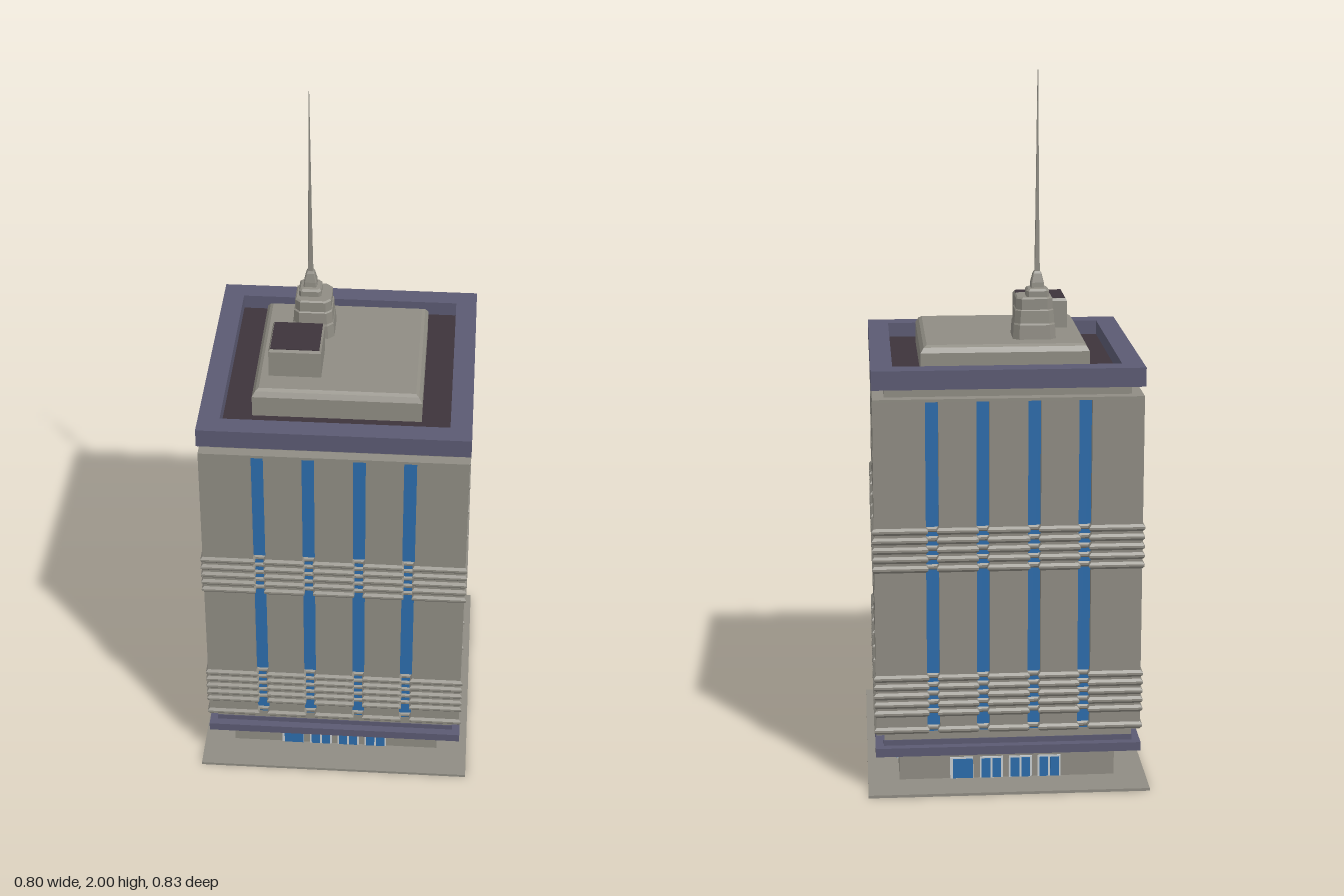
import * as THREE from 'three';

const mat = (name, color) => {
  const m = new THREE.MeshStandardMaterial({ color });
  m.name = name;
  return m;
};

export function createModel() {
  const model = new THREE.Group();
  model.name = 'officeTower';
  const stone = mat('stone', 0x8f8c83);
  const trim = mat('slateTrim', 0x5b5a72);
  const roofMat = mat('darkRoof', 0x3d343b);
  const glass = mat('blueGlass', 0x2c6cab);
  const frameMat = mat('paleFrame', 0xc9cdd0);

  const add = (name, geo, material, parent = model) => {
    const mesh = new THREE.Mesh(geo, material);
    mesh.name = name;
    parent.add(mesh);
    return mesh;
  };

  // Box spanning y0..y1, centred on x and z
  const block = (name, w, d, y0, y1, material, x = 0, z = 0) => {
    const mesh = add(name, new THREE.BoxGeometry(w, y1 - y0, d), material);
    mesh.position.set(x, (y0 + y1) / 2, z);
    return mesh;
  };

  // Flat-sided loft through squares with cut corners: levels are [y, half width, corner cut]
  const loft = (levels) => {
    const rings = levels.map(([y, h, c]) => [
      [h, h - c], [h - c, h], [c - h, h], [-h, h - c],
      [-h, c - h], [c - h, -h], [h - c, -h], [h, c - h],
    ].map(([x, z]) => [x, y, z]));
    const pos = [];
    const tri = (a, b, c) => pos.push(...a, ...b, ...c);
    for (let r = 0; r < rings.length - 1; r++) {
      for (let i = 0; i < 8; i++) {
        const j = (i + 1) % 8, lo = rings[r], hi = rings[r + 1];
        tri(lo[i], hi[i], hi[j]);
        tri(lo[i], hi[j], lo[j]);
      }
    }
    const top = rings[rings.length - 1];
    for (let i = 1; i < 7; i++) tri(top[0], top[i + 1], top[i]);
    const geo = new THREE.BufferGeometry();
    geo.setAttribute('position', new THREE.Float32BufferAttribute(pos, 3));
    geo.computeVertexNormals();
    return geo;
  };

  // Plaza, ground floor and lower cornice
  block('plazaSlab', 0.795, 0.835, 0, 0.008, stone);
  block('groundFloor', 0.615, 0.615, 0.008, 0.105, stone);
  block('lowerCornice', 0.75, 0.75, 0.105, 0.13, trim);
  block('lowerNeck', 0.7, 0.7, 0.13, 0.17, stone);
  block('lowerNeckTrim', 0.704, 0.704, 0.13, 0.146, trim);

  // Tower shaft outline with upright slots on all four sides
  const H = 0.372, slotW = 0.036, slotD = 0.023;
  const frontSlots = [-0.211, -0.071, 0.071, 0.211];
  const sideSlots = [-0.233, -0.117, 0, 0.117, 0.233];
  const outline = [];
  for (let k = 0; k < 4; k++) {
    const side = [[-H, -H]];
    for (const c of k % 2 ? sideSlots : frontSlots) {
      const a = c - slotW / 2, b = c + slotW / 2;
      side.push([a, -H], [a, slotD - H], [b, slotD - H], [b, -H]);
    }
    for (const [x, y] of side) {
      const p = new THREE.Vector2(x, y).rotateAround(new THREE.Vector2(), k * Math.PI / 2);
      outline.push(p);
    }
  }
  const shaftShape = new THREE.Shape(outline);
  const upright = (shape, options) =>
    new THREE.ExtrudeGeometry(shape, options).rotateX(-Math.PI / 2);

  add('towerShaft', upright(shaftShape, { depth: 0.96, bevelEnabled: false }), stone)
    .position.y = 0.17;
  block('shaftCap', H * 2, H * 2, 1.128, 1.136, stone);

  // Rounded ribs that wrap the shaft and dip into the slots
  const ribGeo = upright(shaftShape, {
    depth: 0.006, bevelEnabled: true, bevelSize: 0.006, bevelThickness: 0.007, bevelSegments: 1,
  });
  const ribs = new THREE.Group();
  ribs.name = 'ribs';
  model.add(ribs);
  for (const y of [0.182, 0.232, 0.258, 0.284, 0.31, 0.336, 0.655, 0.682, 0.709, 0.736, 0.763]) {
    add('rib', ribGeo, stone, ribs).position.y = y - 0.003;
  }

  // Glass strips in the slots, and ground floor windows, on each side
  const stripGeo = new THREE.BoxGeometry(slotW, 0.957, 0.004);
  const frameGeo = new THREE.BoxGeometry(0.066, 0.064, 0.004);
  const paneGeo = new THREE.BoxGeometry(0.025, 0.058, 0.004);
  const widePaneGeo = new THREE.BoxGeometry(0.057, 0.058, 0.004);
  for (let k = 0; k < 4; k++) {
    const face = new THREE.Group();
    face.name = ['front', 'right', 'back', 'left'][k] + 'Glazing';
    face.rotation.y = k * Math.PI / 2;
    model.add(face);
    for (const x of k % 2 ? sideSlots : frontSlots) {
      add('glassStrip', stripGeo, glass, face).position.set(x, 0.6495, H - slotD);
    }
    [-0.13, -0.045, 0.038, 0.121].forEach((x, i) => {
      add('windowFrame', frameGeo, frameMat, face).position.set(x, 0.04, 0.3085);
      if (k % 2 === 0 && i === 0) {
        add('windowPane', widePaneGeo, glass, face).position.set(x + 0.003, 0.038, 0.3105);
      } else {
        for (const s of [-1, 1]) {
          add('windowPane', paneGeo, glass, face).position.set(x + s * 0.0155, 0.038, 0.3105);
        }
      }
    });
  }

  // Upper neck and open parapet around a sunken roof
  block('upperNeck', 0.68, 0.68, 1.136, 1.165, stone);
  const square = (h, Type) => new Type([
    new THREE.Vector2(-h, -h), new THREE.Vector2(h, -h),
    new THREE.Vector2(h, h), new THREE.Vector2(-h, h),
  ]);
  const parapet = square(0.375, THREE.Shape);
  parapet.holes.push(square(0.315, THREE.Path));
  add('parapet', upright(parapet, { depth: 0.053, bevelEnabled: false }), trim)
    .position.y = 1.163;
  block('sunkenRoof', 0.632, 0.632, 1.164, 1.174, roofMat);

  // Raised roof deck and plant room
  add('roofDeck', loft([[1.17, 0.235, 0], [1.235, 0.235, 0], [1.249, 0.226, 0], [1.255, 0.217, 0]]), stone);
  add('plantRoom', loft([[1.25, 0.073, 0], [1.333, 0.073, 0], [1.34, 0.069, 0]]), stone)
    .position.set(-0.122, 0, 0.083);
  block('plantRoomRoof', 0.136, 0.136, 1.338, 1.342, roofMat, -0.122, 0.083);

  // Stepped mast base and tapering spire
  const mast = new THREE.Group();
  mast.name = 'mast';
  model.add(mast);
  add('mastBase', loft([
    [1.25, 0.061, 0.017], [1.295, 0.058, 0.016], [1.3, 0.056, 0.016],
    [1.335, 0.054, 0.015], [1.338, 0.051, 0.015], [1.368, 0.051, 0.015], [1.372, 0.047, 0.014],
  ]), stone, mast).position.set(-0.088, 0, -0.101);
  add('mastCollar', loft([
    [1.365, 0.032, 0.007], [1.388, 0.032, 0.007], [1.394, 0.027, 0.006],
    [1.396, 0.019, 0.003], [1.41, 0.018, 0.003], [1.435, 0.012, 0.002], [1.442, 0.008, 0.001],
  ]), stone, mast).position.set(-0.098, 0, -0.107);
  add('spire', loft([
    [1.43, 0.0075, 0.001], [1.6, 0.005, 0.001], [1.8, 0.003, 0.0005], [2, 0.001, 0.0002],
  ]), stone, mast).position.set(-0.098, 0, -0.107);

  return model;
}
